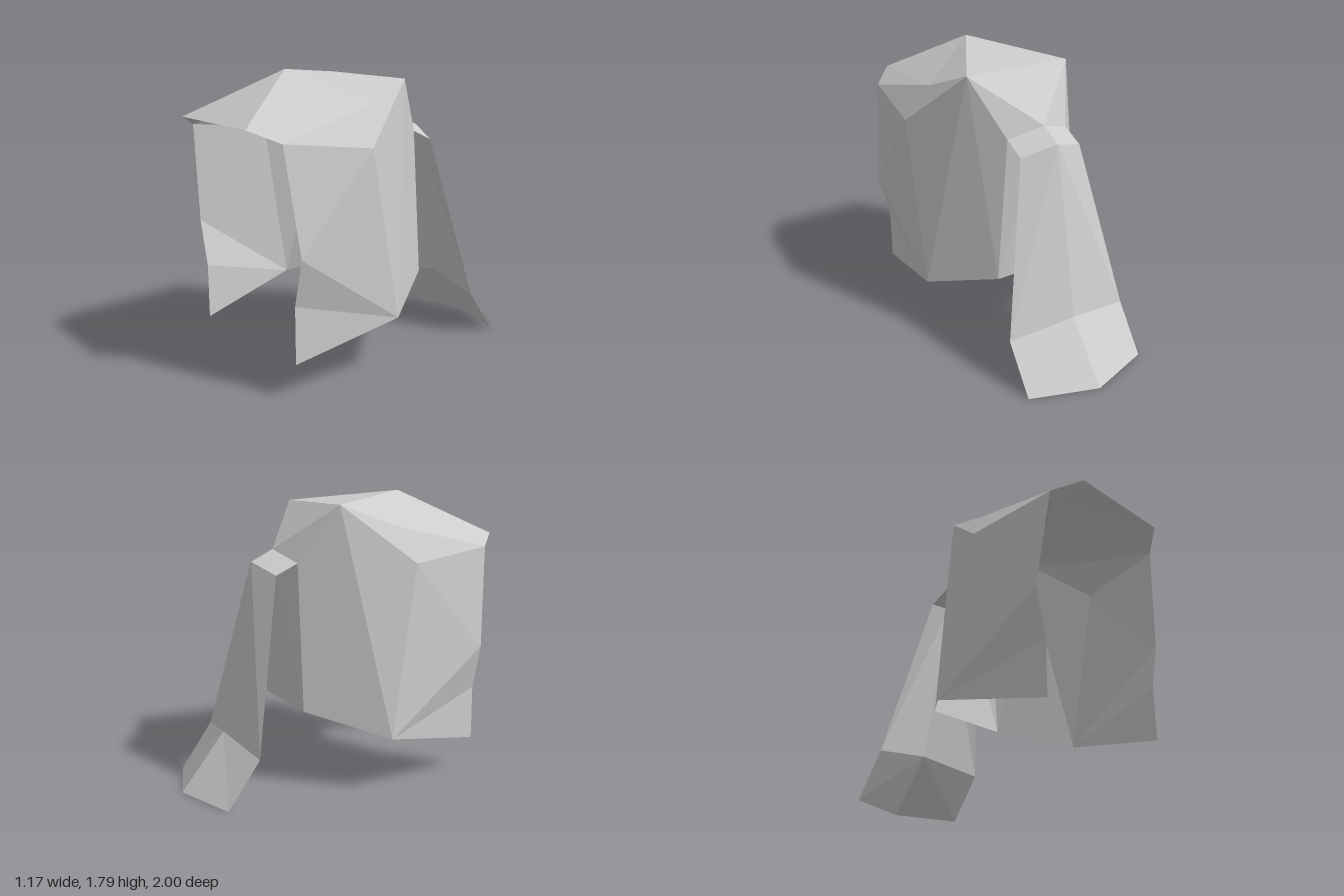
import * as THREE from 'three';

const CX = 0.035; // symmetry plane

// Each point: [distance from symmetry plane, y, z]
const P = {
  peak: [0, 1.79, 0.515],
  nape: [0, 1.45, -0.38],
  tieMid: [0, 1.38, -0.52],
  tailMid: [0, 0.345, -0.725],
  tipMid: [0, 0, -1.0],
  fringe: [0.345, 1.52, 1.0],
  crown: [0.345, 1.725, -0.1],
  temple: [0.48, 1.45, 0.86],
  dome: [0.415, 1.6, 0.23],
  ear: [0.55, 1.38, 0.31],
  cheek: [0.55, 0.83, 0.8],
  jaw: [0.48, 0.55, 0.8],
  lock: [0.48, 0.21, 0.8],
  hem: [0.55, 0.345, 0.11],
  backHem: [0.275, 0.485, -0.31],
  root: [0.205, 1.38, -0.31],
  tie: [0.205, 1.315, -0.45],
  tailSide: [0.41, 0.28, -0.66],
  tipSide: [0.41, 0, -0.86],
};

// A name ending in '-' is the mirrored point
function point(name, side) {
  const mirrored = name.endsWith('-');
  const key = mirrored ? name.slice(0, -1) : name;
  const s = mirrored ? -side : side;
  let [x, y, z] = P[key];
  if (key === 'hem' && s < 0) x = 0.62; // the right lock flares a little wider
  return [CX + s * x, y, z];
}

function sheet(name, faces, material, side = 1) {
  const pos = [];
  for (const face of faces) {
    const names = face.split(' ');
    if (side < 0) names.reverse();
    for (const n of names) pos.push(...point(n, side));
  }
  const geometry = new THREE.BufferGeometry();
  geometry.setAttribute('position', new THREE.Float32BufferAttribute(pos, 3));
  geometry.computeVertexNormals();
  const mesh = new THREE.Mesh(geometry, material);
  mesh.name = name;
  return mesh;
}

export function createModel() {
  const group = new THREE.Group();
  group.name = 'ponytailHair';
  const hair = new THREE.MeshStandardMaterial({
    color: 0xcccccc, flatShading: true, side: THREE.DoubleSide,
  });
  hair.name = 'hairGrey';

  // Middle strip: fringe, crown and back of the head
  group.add(sheet('fringe', ['fringe- fringe peak'], hair));
  group.add(sheet('crown', ['peak crown crown-', 'crown nape crown-'], hair));
  group.add(sheet('backHair', ['nape backHem backHem-'], hair));

  for (const [label, side] of [['left', 1], ['right', -1]]) {
    // Rounded top between fringe, crown and ear
    group.add(sheet(label + 'TopHair', [
      'peak dome crown', 'peak fringe dome', 'fringe temple dome',
      'temple ear dome', 'ear crown dome',
    ], hair, side));
    // Long side curtain ending in a pointed front lock
    group.add(sheet(label + 'SideHair', [
      'temple cheek ear', 'crown ear hem', 'ear cheek hem',
      'cheek jaw hem', 'jaw lock hem',
    ], hair, side));
    // Back corner
    group.add(sheet(label + 'BackHair', [
      'crown hem backHem', 'crown backHem root', 'crown root nape', 'root backHem nape',
    ], hair, side));
    // Ponytail: tie, length and flared tip
    group.add(sheet(label + 'PonytailTie', ['nape root tie', 'nape tie tieMid'], hair, side));
    group.add(sheet(label + 'Ponytail', ['tieMid tie tailSide', 'tieMid tailSide tailMid'], hair, side));
    group.add(sheet(label + 'PonytailTip', ['tailMid tailSide tipSide', 'tailMid tipSide tipMid'], hair, side));
  }
  return group;
}
